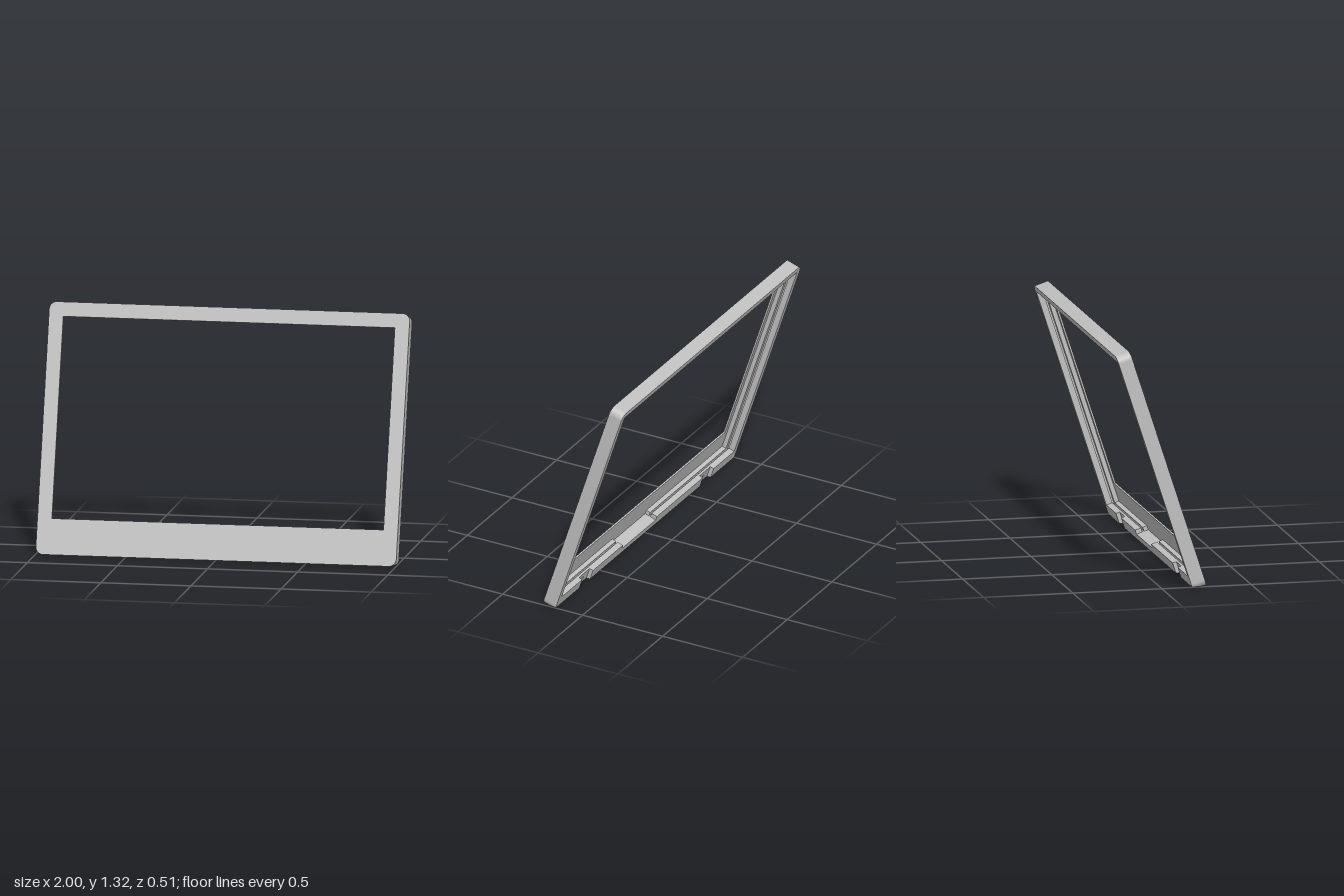
import * as THREE from 'three';
import { toCreasedNormals } from 'three/addons/utils/BufferGeometryUtils.js';

const TILT = THREE.MathUtils.degToRad(18);
const H = 1.393;        // height along the slope
const R = 0.042;        // outer corner radius
const NOTCH_IN = 0.615, NOTCH_OUT = 0.735;
const WALL = 0.087;     // height of the lower inner wall

// Outer outline, from the bottom middle-left round to the bottom middle-right
function traceOuter(shape, startX) {
  shape.moveTo(startX, 0);
  shape.lineTo(1 - R, 0);
  shape.absarc(1 - R, R, R, -Math.PI / 2, 0);
  shape.absarc(1 - R, H - R, R, 0, Math.PI / 2);
  shape.absarc(-1 + R, H - R, R, Math.PI / 2, Math.PI);
  shape.absarc(-1 + R, R, R, Math.PI, Math.PI * 1.5);
  return shape;
}

const points = list => list.map(([x, y]) => new THREE.Vector2(x, y));

// Full ring with a polygonal hole
function ring(hole) {
  const shape = traceOuter(new THREE.Shape(), 0);
  shape.holes.push(new THREE.Path(points(hole)));
  return shape;
}

// Hole whose lower wall has the wide cable gap
const steppedHole = inset => [
  [-1 + inset, WALL], [-1 + inset, H - inset], [1 - inset, H - inset], [1 - inset, WALL],
  [0.28, WALL], [0.28, 0.063], [-0.1, 0.063], [-0.1, WALL],
];

const rectHole = (x, bottom, top) => [[-x, bottom], [-x, top], [x, top], [x, bottom]];

export function createModel() {
  const grey = new THREE.MeshStandardMaterial({ color: 0xc0c0c0 });
  grey.name = 'light grey plastic';

  const model = new THREE.Group();
  model.name = 'screenFrame';
  const frame = new THREE.Group();
  frame.name = 'tiltedFrame';
  frame.rotation.x = -TILT;
  frame.position.z = 0.253;
  model.add(frame);

  // Extrude between two depths and trim the underside level with the ground
  function layer(name, shape, back, front) {
    let geo = new THREE.ExtrudeGeometry(shape, { depth: front - back, bevelEnabled: false, curveSegments: 10 });
    geo.translate(0, 0, back);
    const p = geo.attributes.position;
    for (let i = 0; i < p.count; i++) {
      p.setY(i, Math.max(p.getY(i), -p.getZ(i) * Math.tan(TILT)));
    }
    geo.deleteAttribute('normal');
    geo = toCreasedNormals(geo, 0.5);
    const mesh = new THREE.Mesh(geo, grey);
    mesh.name = name;
    frame.add(mesh);
  }

  // Thin front bezel around the screen opening
  layer('frontBezel', ring(rectHole(0.92, 0.2, H - 0.08)), -0.01, 0);

  // Inner ridge, groove and rear lip
  layer('innerRidge', ring(steppedHole(0.05)), -0.035, -0.01);
  layer('groove', ring(rectHole(0.975, 0.063, H - 0.025)), -0.045, -0.035);

  const lip = ring(steppedHole(0.035));
  for (const side of [-1, 1]) {
    const screwHole = new THREE.Path();
    screwHole.absarc(side * 0.675, 0.052, 0.009, 0, Math.PI * 2, true);
    lip.holes.push(screwHole);
  }
  layer('rearLip', lip, -0.058, -0.045);

  // Rear rim, broken by the two mounting notches
  const rim = traceOuter(new THREE.Shape(), NOTCH_OUT);
  for (const [x, y] of [
    [-NOTCH_OUT, 0], [-NOTCH_OUT, WALL], [-0.965, WALL], [-0.965, H - 0.035],
    [0.965, H - 0.035], [0.965, WALL], [NOTCH_OUT, WALL],
  ]) rim.lineTo(x, y);
  rim.closePath();
  layer('rearRim', rim, -0.08, -0.058);

  const middle = new THREE.Shape(points([
    [-NOTCH_IN, 0], [NOTCH_IN, 0], [NOTCH_IN, WALL], [0.28, WALL],
    [0.28, 0.063], [-0.1, 0.063], [-0.1, WALL], [-NOTCH_IN, WALL],
  ]));
  layer('rearRimMiddle', middle, -0.08, -0.058);

  return model;
}
